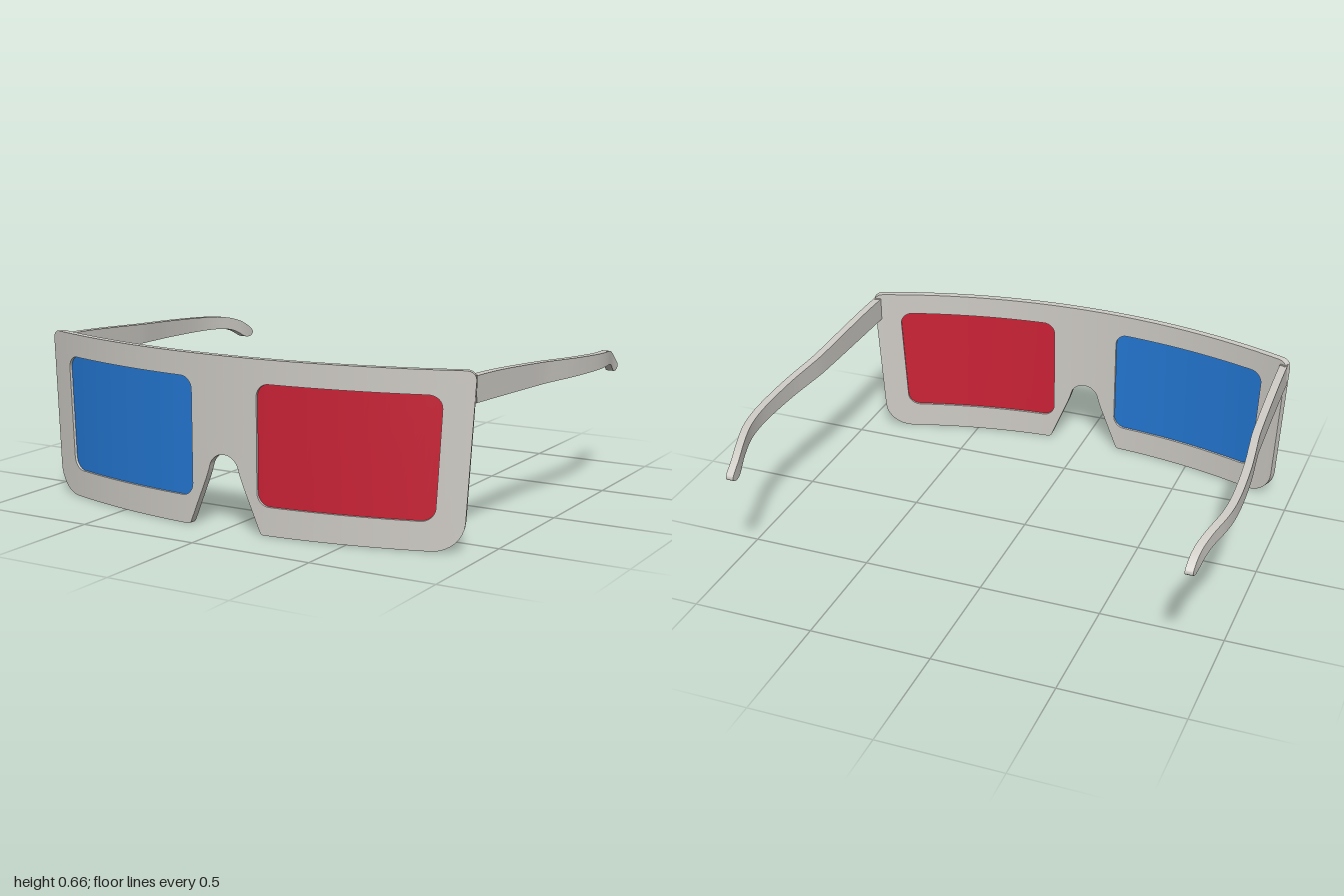
import * as THREE from 'three';
import { toCreasedNormals } from 'three/addons/utils/BufferGeometryUtils.js';

const R = 2.53;        // radius of the wrapped front
const FRONT_Z = 0.79;  // foremost point
const THICK = 0.03;

// Closed path through [x, y, cornerRadius] points
function roundedPath(points, PathType = THREE.Shape) {
  const path = new PathType();
  const n = points.length;
  points.forEach(([x, y, r = 0], i) => {
    const toward = ([px, py]) => {
      const l = Math.hypot(px - x, py - y);
      return [x + (px - x) / l * r, y + (py - y) / l * r];
    };
    const a = toward(points[(i + n - 1) % n]);
    const b = toward(points[(i + 1) % n]);
    if (i === 0) path.moveTo(...a); else path.lineTo(...a);
    if (r > 0) {
      const k = 0.55; // near-circular corner
      path.bezierCurveTo(a[0] + (x - a[0]) * k, a[1] + (y - a[1]) * k,
        b[0] + (x - b[0]) * k, b[1] + (y - b[1]) * k, ...b);
    }
  });
  path.closePath();
  return path;
}

// Cut every triangle along regular planes of x so the part can bend smoothly
function sliceX(geometry, from, to, count) {
  const p = geometry.toNonIndexed().attributes.position;
  let tris = [];
  for (let i = 0; i < p.count; i += 3) {
    tris.push([0, 1, 2].map(k => new THREE.Vector3().fromBufferAttribute(p, i + k)));
  }
  for (let s = 0; s <= count; s++) {
    const c = from + (to - from) * s / count;
    const next = [];
    for (const t of tris) {
      for (const side of [1, -1]) {
        const poly = [];
        t.forEach((a, i) => {
          const b = t[(i + 1) % 3];
          const da = (a.x - c) * side, db = (b.x - c) * side;
          if (da >= 0) poly.push(a);
          if (da * db < 0) poly.push(a.clone().lerp(b, da / (da - db)));
        });
        for (let i = 2; i < poly.length; i++) next.push([poly[0], poly[i - 1], poly[i]]);
      }
    }
    tris = next;
  }
  return new THREE.BufferGeometry().setFromPoints(tris.flat());
}

// Extrude, slice, then move each vertex by a rule
function bentExtrusion(shape, depth, range, count, rule) {
  const flat = new THREE.ExtrudeGeometry(shape, { depth, bevelEnabled: false, curveSegments: 8 });
  const geometry = sliceX(flat, ...range, count);
  const p = geometry.attributes.position;
  for (let i = 0; i < p.count; i++) {
    p.setXYZ(i, ...rule(p.getX(i), p.getY(i), p.getZ(i)));
  }
  return toCreasedNormals(geometry, 0.5);
}

// Wrap a flat front part around the face
const wrap = inset => (x, y, w) => {
  const r = R - THICK + w + inset;
  const a = Math.asin(x / R);
  return [r * Math.sin(a), y, FRONT_Z - R + r * Math.cos(a)];
};

const lensPoints = side => [
  [0.145, 0.11, 0.05], [0.818, 0.11, 0.05], [0.842, 0.572, 0.05], [0.145, 0.572, 0.05],
].map(([x, y, r]) => [x * side, y, r]);

export function createModel() {
  const model = new THREE.Group();
  model.name = 'glasses';
  const grey = new THREE.MeshStandardMaterial({ name: 'warm grey', color: 0xcfccc6 });
  const blue = new THREE.MeshStandardMaterial({ name: 'blue', color: 0x2478d4 });
  const red = new THREE.MeshStandardMaterial({ name: 'red', color: 0xcc2236 });
  const add = (name, geometry, material) => {
    const mesh = new THREE.Mesh(geometry, material);
    mesh.name = name;
    model.add(mesh);
    return mesh;
  };

  // Front frame with nose notch and two lens openings
  const half = [
    [0.072, 0.21, 0.03], [0.16, 0, 0.012], [0.915, 0, 0.11], [0.952, 0.663, 0.035],
  ];
  const outline = roundedPath([
    [0.05, 0.288, 0.045], ...half,
    ...half.map(([x, y, r]) => [-x, y, r]).reverse(), [-0.05, 0.288, 0.045],
  ]);
  for (const side of [1, -1]) outline.holes.push(roundedPath(lensPoints(side), THREE.Path));
  add('frontFrame', bentExtrusion(outline, THICK, [-0.96, 0.96], 48, wrap(0)), grey);

  // Lenses set midway in the frame
  for (const [side, name, material] of [[1, 'leftLens', red], [-1, 'rightLens', blue]]) {
    add(name, bentExtrusion(roundedPath(lensPoints(side)), 0.01,
      [0.14 * side, 0.86 * side], 18, wrap(0.01)), material);
  }

  // Temple side profile, running backwards (x = -z)
  const temple = new THREE.Shape();
  temple.moveTo(-0.585, 0.545);
  temple.lineTo(0.5, 0.515);
  temple.bezierCurveTo(0.62, 0.512, 0.66, 0.505, 0.71, 0.473);
  temple.bezierCurveTo(0.74, 0.452, 0.77, 0.452, 0.788, 0.464);
  temple.bezierCurveTo(0.798, 0.472, 0.795, 0.48, 0.785, 0.49);
  temple.bezierCurveTo(0.72, 0.54, 0.65, 0.566, 0.53, 0.573);
  temple.lineTo(-0.2, 0.625);
  temple.bezierCurveTo(-0.35, 0.635, -0.45, 0.642, -0.585, 0.643);

  // Sideways sweep of the temples as seen from above
  const sweep = new THREE.SplineCurve([
    [-0.6, 0.926], [-0.3, 0.937], [-0.05, 0.948], [0.03, 0.956], [0.2, 0.975], [0.4, 0.984],
    [0.53, 0.974], [0.65, 0.945], [0.73, 0.926], [0.8, 0.92],
  ].map(([u, x]) => new THREE.Vector2(u, x))).getPoints(120);
  const sweepAt = u => {
    const i = Math.max(1, sweep.findIndex(q => q.x >= u));
    const a = sweep[i - 1], b = sweep[i];
    return a.y + (b.y - a.y) * (u - a.x) / (b.x - a.x);
  };

  for (const [side, prefix] of [[1, 'left'], [-1, 'right']]) {
    add(prefix + 'Temple', bentExtrusion(temple, 0.032, [-0.6, 0.8], 42,
      (u, y, w) => [side * sweepAt(u) + w - 0.016, y, -u]), grey);
    // Hinge block joining temple and frame
    const hinge = add(prefix + 'Hinge', new THREE.BoxGeometry(0.026, 0.1, 0.026), grey);
    hinge.position.set(side * 0.928, 0.595, 0.587);
    hinge.rotation.y = side * 0.38;
  }
  return model;
}
